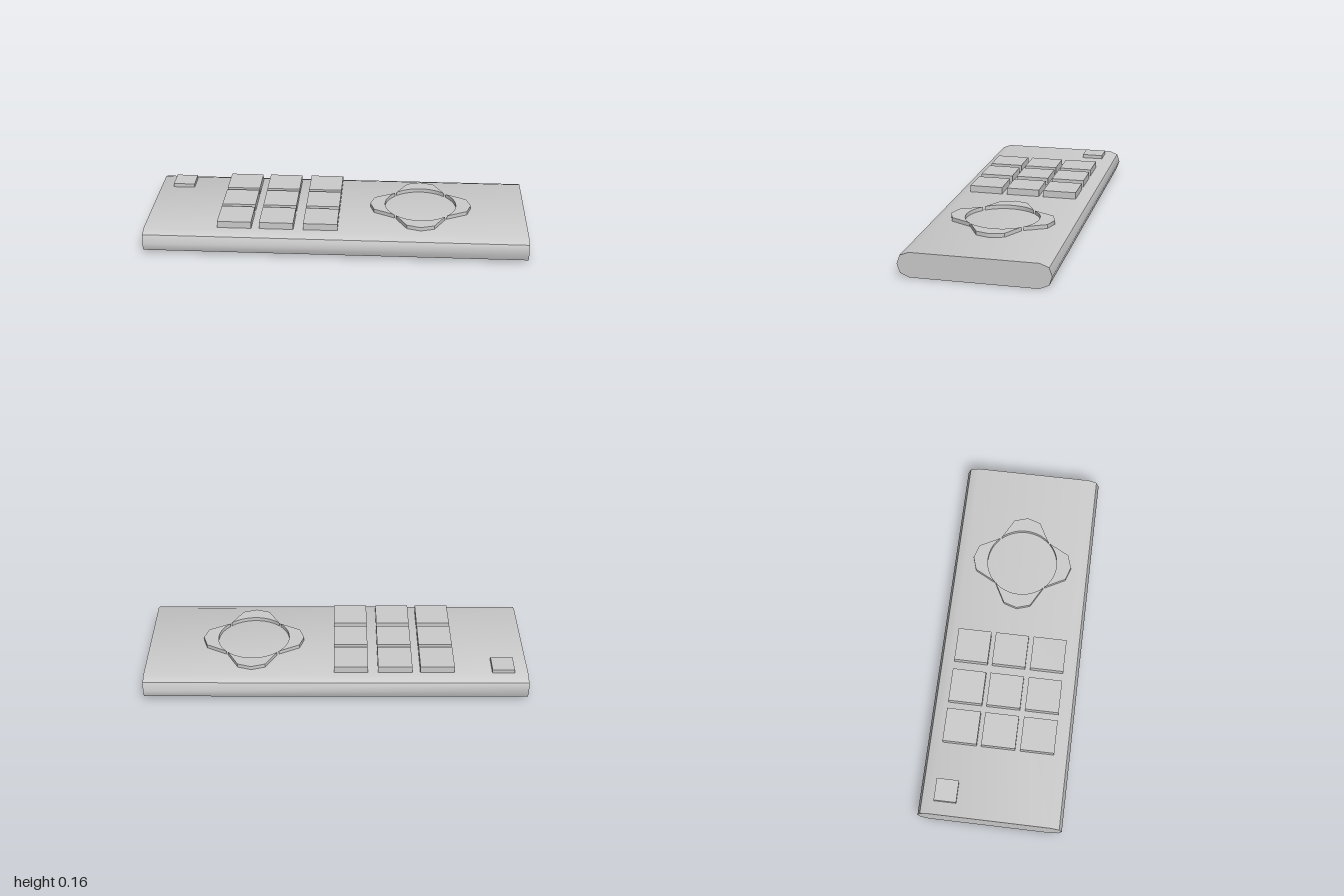
import * as THREE from 'three';
import { toCreasedNormals } from 'three/addons/utils/BufferGeometryUtils.js';

const CREASE = 0.72;
const BODY_TOP = 0.126;
const material = new THREE.MeshStandardMaterial({ color: 0xcccccc });

function addMesh(parent, name, geometry) {
  const mesh = new THREE.Mesh(geometry, material);
  mesh.name = name;
  parent.add(mesh);
  return mesh;
}

// Long slab with faceted rounded sides, extruded along x
function bodyGeometry() {
  const half = [[0.315, 0], [0.36, 0.02], [0.375, 0.064], [0.36, 0.108], [0.315, BODY_TOP]];
  const mirrored = half.map(([z, y]) => [-z, y]).reverse();
  const shape = new THREE.Shape([...half, ...mirrored].map(([z, y]) => new THREE.Vector2(z, y)));
  const geometry = new THREE.ExtrudeGeometry(shape, { depth: 2, bevelEnabled: false });
  geometry.translate(0, 0, -1).rotateY(Math.PI / 2);
  return toCreasedNormals(geometry, CREASE);
}

// Crescent with a faceted outer edge and a round inner edge
function crescentGeometry(height) {
  const radius = 0.19;
  const start = Math.acos(0.13 / radius);
  const tipY = radius * Math.sin(start);
  const shape = new THREE.Shape();
  shape.moveTo(0.13, tipY);
  shape.lineTo(0.072, 0.247);
  shape.lineTo(0, 0.27);
  shape.lineTo(-0.072, 0.247);
  shape.lineTo(-0.13, tipY);
  shape.absarc(0, 0, radius, Math.PI - start, start, true);
  const geometry = new THREE.ExtrudeGeometry(shape, { depth: height, bevelEnabled: false, curveSegments: 16 });
  geometry.rotateX(-Math.PI / 2);
  return toCreasedNormals(geometry, CREASE);
}

// Square key standing on the body, slightly sunk into it
function addKey(parent, name, x, z, size, top) {
  const bottom = BODY_TOP - 0.01;
  const key = addMesh(parent, name, new THREE.BoxGeometry(size, top - bottom, size));
  key.position.set(x, (top + bottom) / 2, z);
}

export function createModel() {
  const model = new THREE.Group();
  model.name = 'remoteControl';
  addMesh(model, 'body', bodyGeometry());

  // Small power key in the corner
  addKey(model, 'powerKey', -0.872, -0.238, 0.116, 0.146);

  // Three by three keypad
  const keypad = new THREE.Group();
  keypad.name = 'keypad';
  for (const x of [-0.528, -0.308, -0.078]) {
    for (const z of [-0.204, -0.002, 0.202]) addKey(keypad, 'key', x, z, 0.178, 0.162);
  }
  model.add(keypad);

  // Four direction keys around an open centre
  const directionPad = new THREE.Group();
  directionPad.name = 'directionPad';
  directionPad.position.set(0.443, BODY_TOP - 0.01, 0);
  const crescent = crescentGeometry(0.03);
  for (let i = 0; i < 4; i++) {
    addMesh(directionPad, 'directionKey', crescent).rotation.y = i * Math.PI / 2;
  }
  model.add(directionPad);

  return model;
}
